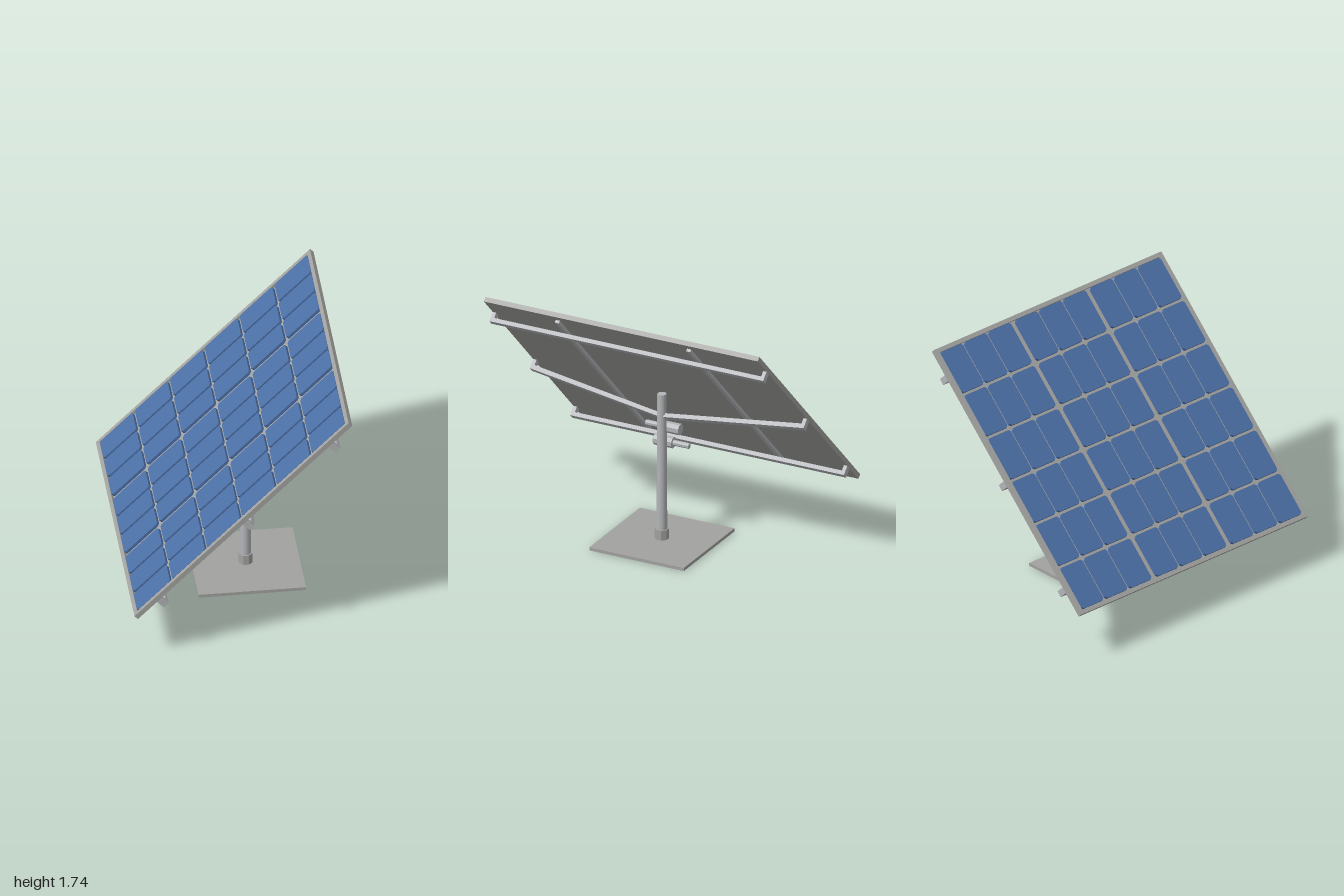
import * as THREE from 'three';

const mat = (name, color, flatShading = false) => {
  const m = new THREE.MeshStandardMaterial({ color, flatShading });
  m.name = name;
  return m;
};

export function createModel() {
  const frameGrey = mat('frame grey', 0xa2a2a0);
  const steel = mat('steel grey', 0xb2b4b7);
  const cellBlue = mat('cell blue', 0x4b6fa6);

  const model = new THREE.Group();
  model.name = 'solarTracker';

  const add = (parent, name, geometry, material, x = 0, y = 0, z = 0) => {
    const mesh = new THREE.Mesh(geometry, material);
    mesh.name = name;
    mesh.position.set(x, y, z);
    parent.add(mesh);
    return mesh;
  };
  const shapeOf = (pts) => new THREE.Shape(pts.map(([a, b]) => new THREE.Vector2(a, b)));
  const rect = (a, b) => [[-a, -b], [a, -b], [a, b], [-a, b]];
  const extrude = (shape, depth) => new THREE.ExtrudeGeometry(shape, { depth, bevelEnabled: false });

  // Ground plate, collar and post
  const postX = 0.14;
  add(model, 'basePlate', new THREE.BoxGeometry(0.7, 0.022, 0.69), frameGrey, postX, 0.011, 0);
  const collar = new THREE.CylinderGeometry(0.047, 0.047, 0.07, 8).toNonIndexed();
  collar.rotateY(Math.PI / 8);
  collar.computeVertexNormals();
  add(model, 'postCollar', collar, frameGrey, postX, 0.057, 0);
  add(model, 'post', new THREE.CylinderGeometry(0.03, 0.036, 1.023, 16), steel, postX, 0.5335, 0);

  // Two drive motors, lying along z and facing opposite ways
  const drum = (r, length) => {
    const g = new THREE.CylinderGeometry(r, r, length, 8).toNonIndexed();
    g.rotateY(Math.PI / 8);
    g.rotateX(Math.PI / 2);
    g.computeVertexNormals();
    return g;
  };
  for (const [y, dir, z] of [[0.783, 1, -0.032], [0.68, -1, 0.018]]) {
    const motor = new THREE.Group();
    motor.name = 'driveMotor';
    motor.position.set(0.07, y, z);
    model.add(motor);
    add(motor, 'motorBody', drum(0.038, 0.135), steel);
    add(motor, 'motorShaft', drum(0.019, 0.115), steel, 0, 0, dir * 0.125);
  }

  // Tilted panel: local x runs up the slope, local y is its upper normal
  const panel = new THREE.Group();
  panel.name = 'panel';
  panel.position.set(0, 1.03, 0);
  panel.rotation.z = Math.PI / 4;
  model.add(panel);

  const half = 0.0165;
  add(panel, 'backSheet', new THREE.BoxGeometry(1.972, 0.013, 2), frameGrey, 0, -half + 0.0065, 0);
  const rimShape = shapeOf(rect(0.986, 1));
  rimShape.holes.push(shapeOf(rect(0.957, 0.971)));
  const rim = extrude(rimShape, 0.02);
  rim.rotateX(-Math.PI / 2);
  add(panel, 'rim', rim, frameGrey, 0, -0.0035, 0);

  // Cells with clipped corners: six up the slope, three groups of three across
  const a = 0.1508, b = 0.096, c = 0.014;
  const cell = extrude(shapeOf([
    [-a + c, -b], [a - c, -b], [a, -b + c], [a, b - c],
    [a - c, b], [-a + c, b], [-a, b - c], [-a, -b + c],
  ]), 0.02);
  cell.rotateX(-Math.PI / 2);
  for (let i = 0; i < 6; i++) {
    for (let group = -1; group <= 1; group++) {
      for (let k = -1; k <= 1; k++) {
        add(panel, 'solarCell', cell, cellBlue, (i - 2.5) * 0.3215, -0.0035, group * 0.66 + k * 0.212);
      }
    }
  }

  // Rails running up the slope
  for (const z of [-0.48, 0.48]) {
    add(panel, 'slopeRail', new THREE.BoxGeometry(1.865, 0.02, 0.03), steel, 0, -half - 0.01, z);
  }

  // Crossbars with end brackets; the middle one dips to meet the post
  const crossbar = (u, sag) => {
    const top = -0.055, bottom = -0.083, flat = 0.03;
    const g = extrude(shapeOf([
      [-1, bottom], [-flat, bottom - sag], [flat, bottom - sag], [1, bottom],
      [1, -half], [0.975, -half], [0.975, top],
      [flat, top - sag], [-flat, top - sag], [-0.975, top], [-0.975, -half], [-1, -half],
    ]), 0.044);
    g.translate(0, 0, -0.022);
    g.rotateY(-Math.PI / 2);
    add(panel, 'crossbar', g, steel, u, 0, 0);
  };
  crossbar(-0.79, 0);
  crossbar(0, 0.129);
  crossbar(0.79, 0);

  return model;
}
